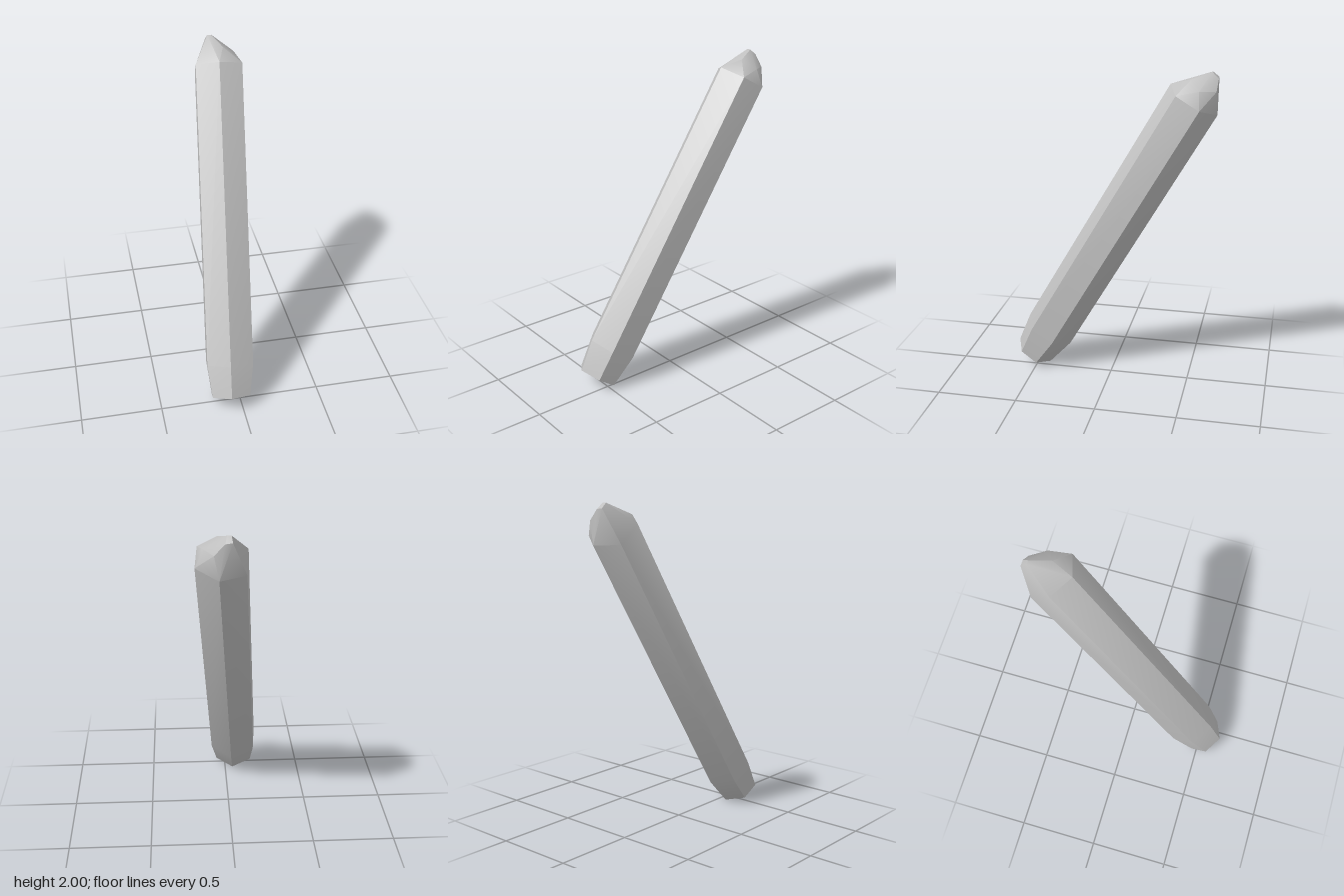
import * as THREE from 'three';
import { toCreasedNormals } from 'three/addons/utils/BufferGeometryUtils.js';
import { ConvexGeometry } from 'three/addons/geometries/ConvexGeometry.js';

const V = (x, y, z) => new THREE.Vector3(x, y, z);

// Six ring corners: three given, three mirrored through the ring centre
function hexRing(center, corners) {
  return [...corners, ...corners.map((c) => center.clone().multiplyScalar(2).sub(c))];
}

export function createModel() {
  const group = new THREE.Group();
  group.name = 'crystal';
  const stone = new THREE.MeshStandardMaterial({ color: 0xc0c0c0 });
  stone.name = 'grey stone';

  // Narrow foot ring, and the full-width ring above it
  const foot = hexRing(V(-0.065, 0.07, 0.53), [V(-0.08, 0.135, 0.638), V(0.045, 0.104, 0.592), V(0.057, 0.038, 0.492)]);
  const lower = hexRing(V(-0.053, 0.243, 0.42), [V(-0.072, 0.325, 0.56), V(0.079, 0.285, 0.51), V(0.095, 0.206, 0.372)]);

  // Upper ring: the lower one slid along the leaning axis
  const axis = V(0.116, 1.6, -0.92);
  const reach = [1, 1, 1, 1, 0.98, 1];
  const upper = lower.map((p, i) => p.clone().addScaledVector(axis, reach[i]));

  // Worn, off-centre tip
  const tip = [
    V(0.015, 2.0, -0.6), V(0.04, 2.0, -0.6), V(0.01, 1.97, -0.637), V(0.05, 1.965, -0.637),
    V(0.09, 1.963, -0.485), V(0.165, 1.91, -0.54), V(0.11, 1.9, -0.632),
  ];

  // Crisp long edges, soft transitions at the foot and tip
  const geometry = toCreasedNormals(new ConvexGeometry([...foot, ...lower, ...upper, ...tip]), 0.6);
  const shard = new THREE.Mesh(geometry, stone);
  shard.name = 'crystalShard';
  group.add(shard);
  return group;
}
